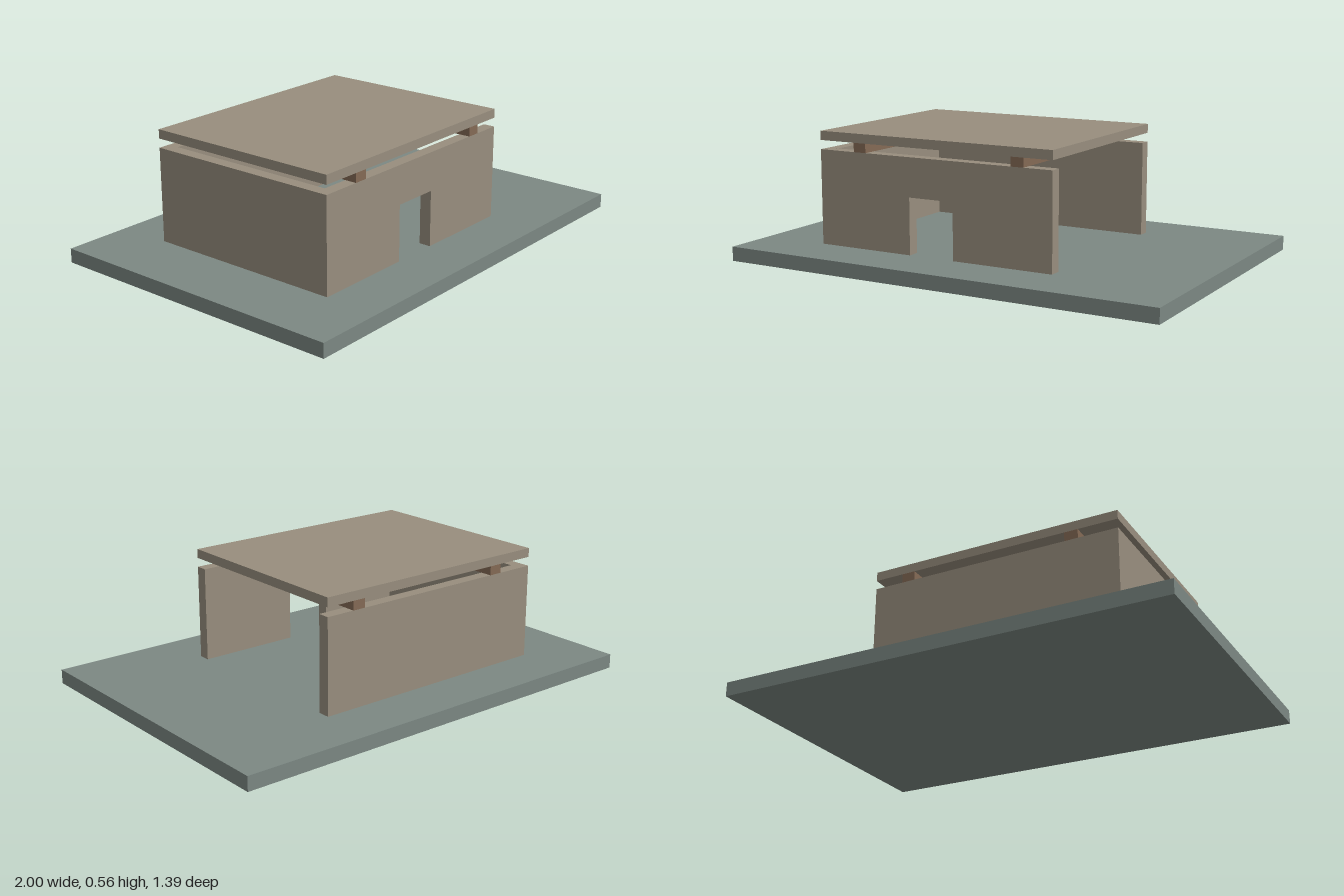
import * as THREE from 'three';

export function createModel() {
  const model = new THREE.Group();
  const material = (name, color) => {
    const m = new THREE.MeshStandardMaterial({ color });
    m.name = name;
    return m;
  };
  const stone = material('sandstone', 0x988e7e);
  const slab = material('greySlab', 0x7c8883);
  const wood = material('brownWood', 0x846a55);

  // Box given by its lower and upper corners
  const box = (name, mat, [x0, y0, z0], [x1, y1, z1]) => {
    const mesh = new THREE.Mesh(new THREE.BoxGeometry(x1 - x0, y1 - y0, z1 - z0), mat);
    mesh.position.set((x0 + x1) / 2, (y0 + y1) / 2, (z0 + z1) / 2);
    mesh.name = name;
    model.add(mesh);
  };

  const left = -0.695, right = 0.435, depth = 0.453, thick = 0.053;
  const floor = 0.063, wallTop = 0.48, roofBase = 0.52, roofTop = 0.56;

  // Ground slab
  box('baseSlab', slab, [-1, 0, -0.695], [1, floor, 0.695]);

  // Front wall outline with the doorway notched out of its lower edge
  const outline = new THREE.Shape([
    [left, floor], [-0.24, floor], [-0.24, 0.31], [-0.027, 0.31],
    [-0.027, floor], [right, floor], [right, wallTop], [left, wallTop],
  ].map(([x, y]) => new THREE.Vector2(x, y)));
  const frontWall = new THREE.Mesh(
    new THREE.ExtrudeGeometry(outline, { depth: thick, bevelEnabled: false }), stone);
  frontWall.position.z = depth - thick;
  frontWall.name = 'frontWall';
  model.add(frontWall);

  // Back and side walls; the +x side stays open
  box('backWall', stone, [left, floor, -depth], [right, wallTop, -depth + thick]);
  box('sideWall', stone, [left, floor, -depth + thick], [left + thick, wallTop, depth - thick]);

  // Two beams carry the flat roof clear of the walls
  for (const x of [-0.49, 0.275]) {
    box('roofBeam', wood, [x - 0.03, wallTop, -depth], [x + 0.03, roofBase, depth]);
  }
  box('roof', stone, [left, roofBase, -depth], [right, roofTop, depth]);

  return model;
}
